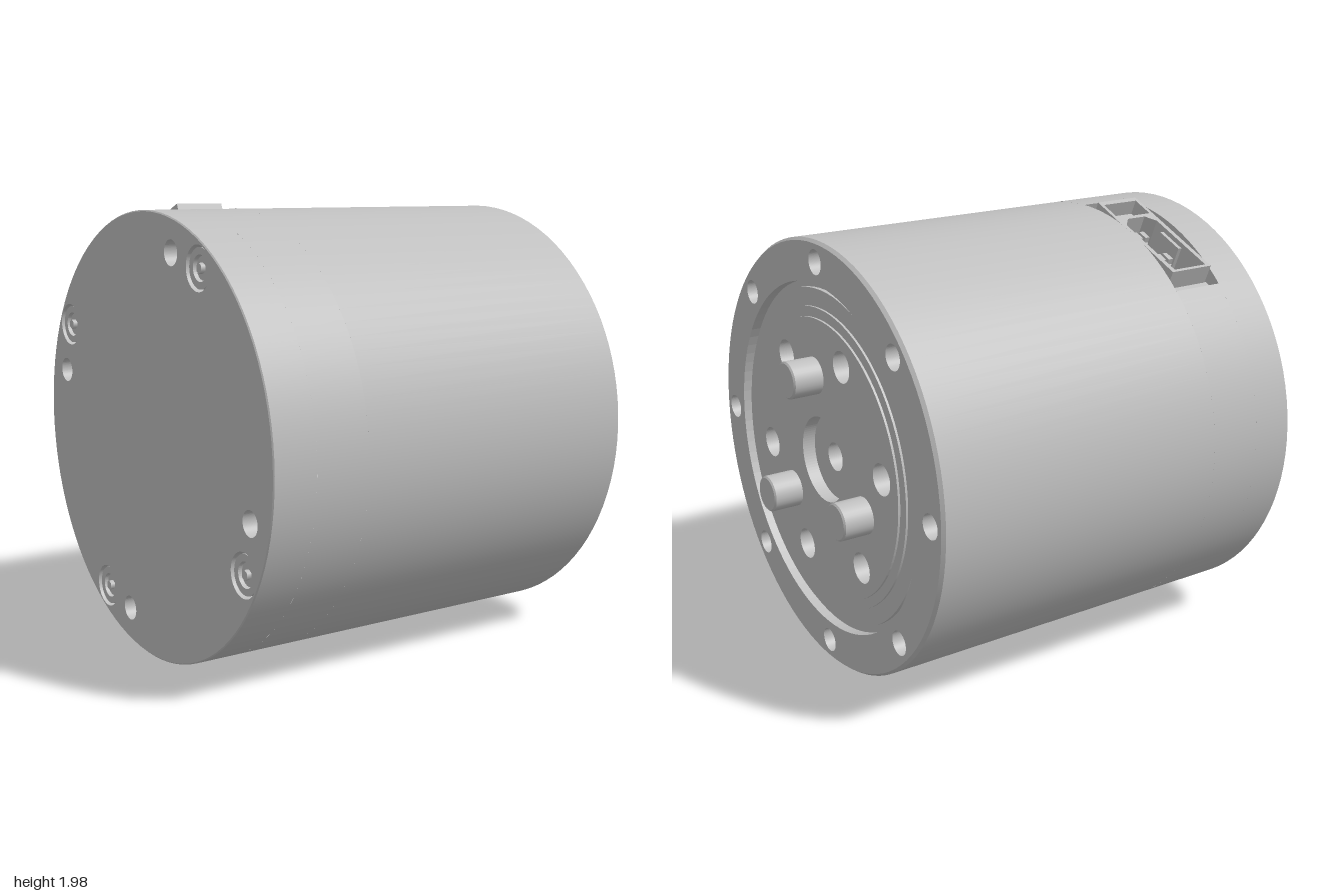
import * as THREE from 'three';

const R = 0.977, FRONT = 0.865, BACK = -1;
const rad = THREE.MathUtils.degToRad;

export function createModel() {
  const model = new THREE.Group();
  model.name = 'motorHousing';
  // Everything is built along local z, then turned so that the axis lies on x.
  const unit = new THREE.Group();
  unit.name = 'housing';
  unit.rotation.y = Math.PI / 2;
  unit.position.y = R;
  model.add(unit);

  const metal = new THREE.MeshStandardMaterial({ color: 0xc0c0c0, side: THREE.DoubleSide });
  metal.name = 'grey metal';

  const add = (parent, name, geometry, x = 0, y = 0, z = 0) => {
    const mesh = new THREE.Mesh(geometry, metal);
    mesh.name = name;
    mesh.position.set(x, y, z);
    parent.add(mesh);
    return mesh;
  };
  // One straight section of a turned profile, so edges stay sharp.
  const band = (name, r0, z0, r1, z1, start = 0, length = Math.PI * 2) => {
    const pts = [new THREE.Vector2(r0, z0), new THREE.Vector2(r1, z1)];
    add(unit, name, new THREE.LatheGeometry(pts, 96, start, length).rotateX(Math.PI / 2));
  };
  const circle = (r, x = 0, y = 0, Type = THREE.Path) => {
    const c = new Type();
    c.absarc(x, y, r, 0, Math.PI * 2);
    return c;
  };
  // Evenly spaced points on a circle.
  const around = (n, r, startDeg) => Array.from({ length: n }, (_, i) => {
    const a = rad(startDeg + i * 360 / n);
    return [r * Math.cos(a), r * Math.sin(a)];
  });
  // Round plate with holes, from z0 to z1.
  const plate = (name, r, holes, z0, z1) => {
    const s = circle(r, 0, 0, THREE.Shape);
    s.holes.push(...holes);
    const g = new THREE.ExtrudeGeometry(s, { depth: z1 - z0, bevelEnabled: false, curveSegments: 48 });
    add(unit, name, g, 0, 0, z0);
  };
  const rod = (parent, name, r, z0, z1, x, y, sides = 32) =>
    add(parent, name, new THREE.CylinderGeometry(r, r, z1 - z0, sides).rotateX(Math.PI / 2), x, y, (z0 + z1) / 2);

  // Outer shell, left open where the connector sits
  const mid = 22.7, half = 21.5, s0 = -0.8, s1 = -0.55;
  band('shellRear', R, BACK + 0.005, R, s0);
  band('shellMiddle', R, s0, R, s1, rad(180 - mid + half), rad(360 - 2 * half));
  band('shellFront', R, s1, R, FRONT - 0.015);
  band('frontChamfer', R, FRONT - 0.015, 0.965, FRONT);
  band('rearChamfer', 0.972, BACK, R, BACK + 0.005);

  // Front flange with bolt holes
  plate('frontFlange', 0.965,
    [circle(0.79), ...around(8, 0.885, 0).map(([x, y]) => circle(0.055, x, y))], 0.72, FRONT);
  add(unit, 'frontHoleFloor', new THREE.CircleGeometry(0.96, 64), 0, 0, 0.725);

  // Stepped ring between flange and hub
  const steps = [[0.79, 0.82], [0.76, 0.82], [0.76, 0.84], [0.68, 0.84], [0.68, 0.85], [0.635, 0.85]];
  for (let i = 1; i < steps.length; i++) band('hubStep', ...steps[i - 1], ...steps[i]);

  // Hub with six holes, centre recess and three drive pins
  plate('hub', 0.635,
    [circle(0.193), ...around(6, 0.51, 8).map(([x, y]) => circle(0.07, x, y))], 0.73, 0.86);
  plate('hubCentre', 0.193, [circle(0.065)], 0.73, 0.80);
  for (const [x, y] of around(3, 0.378, 98)) {
    rod(unit, 'drivePin', 0.083, 0.80, 0.993, x, y);
    const tip = new THREE.CylinderGeometry(0.076, 0.083, 0.007, 32).rotateX(Math.PI / 2);
    add(unit, 'drivePinTip', tip, x, y, 0.9965);
  }

  // Rear cover with plain holes and counterbored screws
  const screws = around(4, 0.87, 30), dowels = around(4, 0.835, 15);
  plate('rearCover', 0.972, [
    ...screws.map(([x, y]) => circle(0.095, x, y)),
    ...dowels.map(([x, y]) => circle(0.055, x, y)),
  ], BACK, -0.88);
  add(unit, 'rearHoleFloor', new THREE.CircleGeometry(0.965, 64).rotateY(Math.PI), 0, 0, -0.885);
  for (const [x, y] of screws) {
    const washer = circle(0.085, 0, 0, THREE.Shape);
    washer.holes.push(circle(0.055));
    add(unit, 'screwWasher',
      new THREE.ExtrudeGeometry(washer, { depth: 0.1, bevelEnabled: false, curveSegments: 20 }), x, y, -0.99);
    rod(unit, 'screwHead', 0.05, -0.975, -0.88, x, y, 24);
    rod(unit, 'screwTip', 0.022, -0.995, -0.97, x, y, 6);
  }

  // Connector pocket: u along the tangent, v outwards, z along the axis
  const socket = new THREE.Group();
  socket.name = 'connector';
  socket.rotation.z = -rad(mid);
  unit.add(socket);
  const hu = R * Math.sin(rad(half)), edge = R * Math.cos(rad(half));
  const floor = 0.8, sc = (s0 + s1) / 2, width = s1 - s0;
  const side = new THREE.Shape();
  side.moveTo(-hu, floor);
  side.lineTo(hu, floor);
  side.absarc(0, 0, R, rad(90 - half), rad(90 + half), false);
  side.closePath();
  for (const z of [s0, s1]) add(socket, 'pocketSide', new THREE.ShapeGeometry(side, 24), 0, 0, z);
  add(socket, 'pocketFloor', new THREE.PlaneGeometry(2 * hu, width).rotateX(-Math.PI / 2), 0, floor, sc);
  for (const d of [-1, 1]) {
    add(socket, 'pocketEnd', new THREE.PlaneGeometry(width, edge - floor).rotateY(-d * Math.PI / 2),
      d * hu, (edge + floor) / 2, sc);
    add(socket, 'pocketLedge', new THREE.BoxGeometry(0.07, 0.06, width - 0.01), d * (hu - 0.035), 0.84, sc);
  }

  // Connector frame with a large chamfered opening and a small one
  const loop = (pts, Type = THREE.Path) => new Type(pts.map(p => new THREE.Vector2(...p)));
  const frame = loop([[-0.29, -0.112], [0.29, -0.112], [0.29, 0.112], [-0.29, 0.112]], THREE.Shape);
  frame.holes.push(
    loop([[-0.09, -0.09], [0.275, -0.09], [0.275, 0.09], [-0.09, 0.09], [-0.135, 0.05], [-0.135, -0.05]]),
    loop([[-0.265, -0.095], [-0.155, -0.095], [-0.155, 0.095], [-0.265, 0.095]]));
  add(socket, 'connectorFrame',
    new THREE.ExtrudeGeometry(frame, { depth: 0.962 - floor, bevelEnabled: false }).rotateX(-Math.PI / 2),
    0, floor, sc);
  add(socket, 'connectorBlock', new THREE.BoxGeometry(0.11, 0.09, 0.19), -0.21, 0.845, sc);
  add(socket, 'connectorStep', new THREE.BoxGeometry(0.1, 0.07, 0.18), 0.225, 0.835, sc);
  add(socket, 'connectorLatch', new THREE.BoxGeometry(0.14, 0.12, 0.02), 0.04, 0.88, sc - 0.082);

  // Two slotted terminal screws
  for (const u of [-0.07, 0.11]) {
    add(socket, 'terminalScrew', new THREE.CylinderGeometry(0.042, 0.042, 0.08, 24), u, 0.84, sc);
    for (const d of [-1, 1]) {
      const cap = new THREE.BoxGeometry(0.05, 0.03, 0.025);
      add(socket, 'terminalScrewHead', cap, u, 0.893, sc + d * 0.02);
    }
  }
  return model;
}
